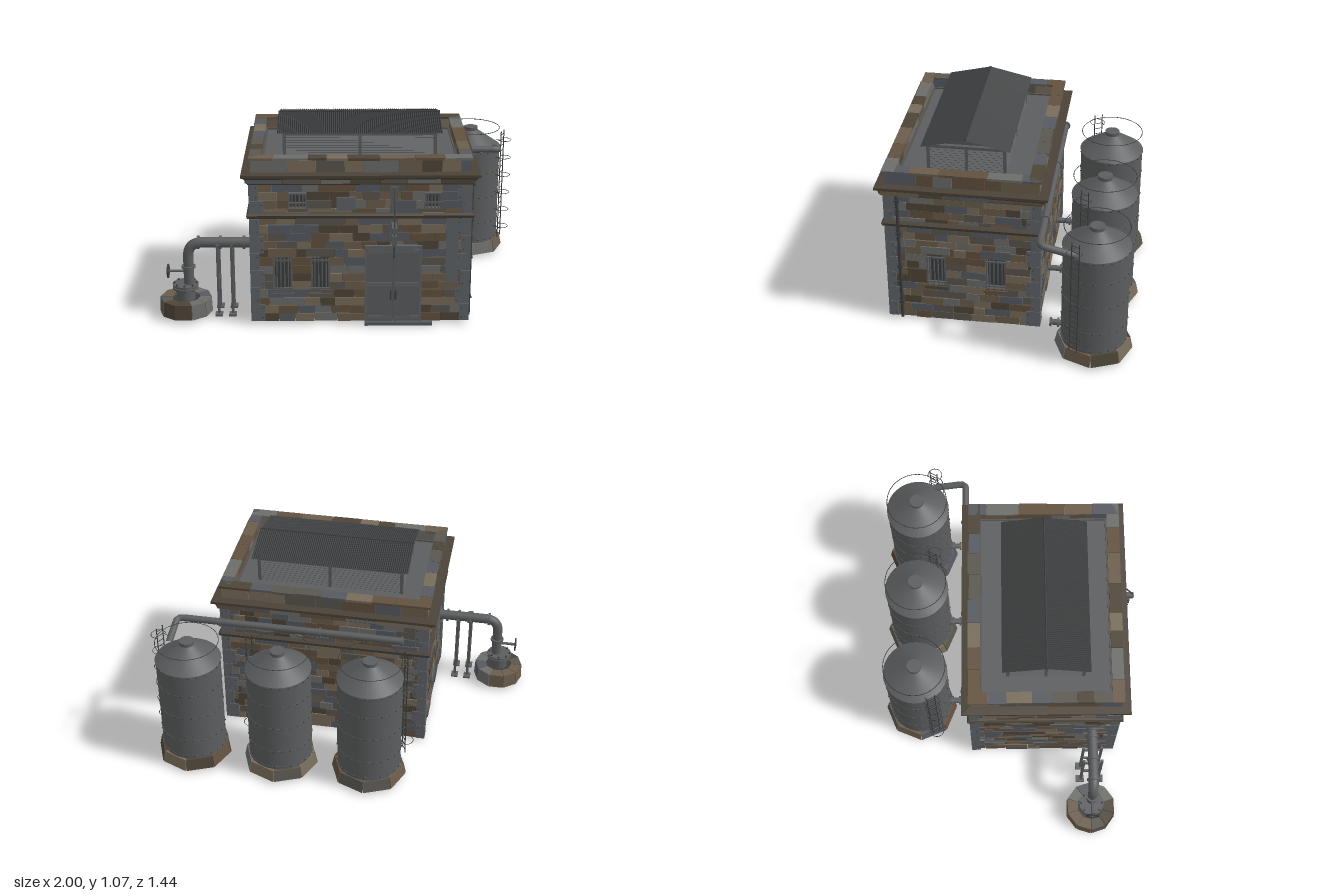
import * as THREE from 'three';
import { mergeGeometries } from 'three/addons/utils/BufferGeometryUtils.js';

const V = (x, y, z) => new THREE.Vector3(x, y, z);
const mat = (color, o = {}) => new THREE.MeshStandardMaterial({ color, ...o });
const STONES = [0x6b5d4c, 0x5a564f, 0x6c6c69, 0x4e4538, 0x786c5a, 0x565a60, 0x62513f].map((c) => mat(c, { flatShading: true }));
const METAL = mat(0x5b5d5e), DARK = mat(0x3a3c3d), PLATE = mat(0x606468), TRIM = mat(0x4a4238, { flatShading: true });
const CORE = mat(0x55534f), SHEET = mat(0x3f4142, { flatShading: true, side: THREE.DoubleSide });

let seed = 7;
const rnd = () => (seed = (seed * 16807) % 2147483647) / 2147483647;

// Pieces of one part are gathered by name and merged at the end
let parts;
function add(name, material, geo, m) {
  if (m) geo.applyMatrix4(m);
  const p = (parts[name] ??= { material, geos: [] });
  p.geos.push(geo.index ? geo.toNonIndexed() : geo);
}
const stone = (name, geo, m) => { const i = Math.floor(rnd() * STONES.length); add(name + 'Stones' + i, STONES[i], geo, m); };
const at = (x, y, z, ry = 0) => new THREE.Matrix4().makeRotationY(ry).setPosition(x, y, z);
// Box given by its min and max corners
const box = (x0, x1, y0, y1, z0, z1) =>
  new THREE.BoxGeometry(x1 - x0, y1 - y0, z1 - z0).translate((x0 + x1) / 2, (y0 + y1) / 2, (z0 + z1) / 2);
function rod(a, b, r, n = 6) {
  const d = b.clone().sub(a), g = new THREE.CylinderGeometry(r, r, d.length(), n);
  g.applyQuaternion(new THREE.Quaternion().setFromUnitVectors(V(0, 1, 0), d.normalize()));
  return g.translate((a.x + b.x) / 2, (a.y + b.y) / 2, (a.z + b.z) / 2);
}
// Pipe through points with rounded bends
function pipe(pts, r, bend = 0.05) {
  const path = new THREE.CurvePath();
  let last = pts[0];
  for (let i = 1; i < pts.length - 1; i++) {
    const p = pts[i];
    const a = p.clone().add(pts[i - 1].clone().sub(p).setLength(bend)), b = p.clone().add(pts[i + 1].clone().sub(p).setLength(bend));
    path.add(new THREE.LineCurve3(last, a));
    path.add(new THREE.QuadraticBezierCurve3(a, p, b));
    last = b;
  }
  path.add(new THREE.LineCurve3(last, pts[pts.length - 1]));
  return new THREE.TubeGeometry(path, 60, r, 14);
}
// Ring of separate stones, narrowing slightly upward
function stoneRing(name, n, ri, ro, h, taper, m) {
  for (let i = 0; i < n; i++) {
    const a = (i / n) * Math.PI * 2 + 0.012, b = ((i + 1) / n) * Math.PI * 2 - 0.012;
    const s = new THREE.Shape([[ri, a], [ro, a], [ro, b], [ri, b]].map(([r, t]) => new THREE.Vector2(r * Math.cos(t), r * Math.sin(t))));
    const g = new THREE.ExtrudeGeometry(s, { depth: h, bevelEnabled: false }).rotateX(-Math.PI / 2), p = g.attributes.position;
    for (let k = 0; k < p.count; k++) {
      const f = 1 - taper * p.getY(k) / h;
      p.setXYZ(k, p.getX(k) * f, p.getY(k), p.getZ(k) * f);
    }
    g.computeVertexNormals();
    stone(name, g, m);
  }
}

// The building is laid out about its own centre
const CX = 0.085, CZ = 0.2, HX = 0.57, HZ = 0.405;
const WINDOWS = [
  [[-0.46, -0.36, 0.18, 0.39], [-0.26, -0.16, 0.18, 0.39], [-0.375, -0.28, 0.637, 0.74], [0.335, 0.425, 0.637, 0.74]],
  [[-0.2, -0.095, 0.235, 0.44], [0.12, 0.23, 0.235, 0.44]], [], []];
const DOOR = [0.035, 0.315, 0.0, 0.445];

// Lofted rectangular moulding from [offset, height] points
function moulding(profile) {
  const pos = [], idx = [], n = profile.length;
  for (const [o, y] of profile) for (const [sx, sz] of [[1, 1], [1, -1], [-1, -1], [-1, 1]]) pos.push(sx * (HX + o), y, sz * (HZ + o));
  for (let i = 0; i < n - 1; i++) for (let k = 0; k < 4; k++) {
    const a = i * 4 + k, b = i * 4 + (k + 1) % 4;
    idx.push(a, b, b + 4, a, b + 4, a + 4);
  }
  const g = new THREE.BufferGeometry();
  g.setAttribute('position', new THREE.Float32BufferAttribute(pos, 3));
  g.setAttribute('uv', new THREE.Float32BufferAttribute(new Array(n * 8).fill(0), 2));
  g.setIndex(idx);
  const flat = g.toNonIndexed();
  flat.computeVertexNormals();
  return flat;
}
// One course of stones between u0 and u1, leaving gaps for openings
function course(name, u0, u1, y0, y1, zi, zo, holes, m, size) {
  const ym = (y0 + y1) / 2, cuts = holes.filter((h) => ym > h[2] && ym < h[3]).sort((a, b) => a[0] - b[0]);
  let from = u0;
  for (const c of [...cuts, [u1, u1]]) {
    while (from < c[0] - 0.002) {
      let to = from + size * (0.6 + rnd() * 0.8);
      if (c[0] - to < size * 0.4) to = c[0];
      stone(name, box(from + 0.0012, to - 0.0012, y0 + 0.001, y1 - 0.001, zi, zo + rnd() * 0.008), m);
      from = to;
    }
    from = c[1];
  }
}
function windowAt([a, b, y0, y1], z, m) {
  const big = y1 - y0 > 0.15;
  add('windowPanes', DARK, box(a, b, y0, y1, z - 0.04, z - 0.03), m);
  for (const [x0, x1, p, q] of [[a, a + 0.009, y0, y1], [b - 0.009, b, y0, y1], [a, b, y0, y0 + 0.009], [a, b, y1 - 0.009, y1]])
    add('windowFrames', METAL, box(x0, x1, p, q, z - 0.03, z + 0.004), m);
  for (let i = 1; i < 5; i++) add('windowBars', METAL, rod(V(a + (b - a) * i / 5, y0, z), V(a + (b - a) * i / 5, y1, z), 0.004), m);
  for (const t of big ? [0.12, 0.88] : [0.5]) add('windowBars', METAL, box(a, b, y0 + (y1 - y0) * t - 0.004, y0 + (y1 - y0) * t + 0.004, z, z + 0.008), m);
  stone('sill', box(a - 0.012, b + 0.012, y0 - 0.018, y0, z - 0.03, z + 0.014), m);
  if (big) stone('lintel', box(a - 0.025, b + 0.025, y1, y1 + 0.045, z - 0.03, z + 0.012), m);
}
function walls() {
  for (let w = 0; w < 4; w++) {
    const ry = w * Math.PI / 2, half = w % 2 ? HZ : HX, z = w % 2 ? HX : HZ, m = at(CX, 0, CZ, ry);
    const holes = w === 0 ? [...WINDOWS[w], DOOR] : WINDOWS[w];
    // Inner wall with openings
    const rect = (a, b, c, d) => [[a, c], [b, c], [b, d], [a, d]].map((p) => new THREE.Vector2(...p));
    const s = new THREE.Shape(rect(-half + 0.025, half - 0.025, 0.015, 0.87));
    for (const h of WINDOWS[w]) s.holes.push(new THREE.Path(rect(...h)));
    add('innerWalls', CORE, new THREE.ExtrudeGeometry(s, { depth: 0.035, bevelEnabled: false }).translate(0, 0, z - 0.06), m);
    for (let i = 0; i < 17; i++)
      course('wall', -half, half, 0.015 + i * 0.0458, 0.015 + (i + 1) * 0.0458, z - 0.03, z, holes, m, 0.1);
    for (const h of WINDOWS[w]) windowAt(h, z, m);
    // Cornice stones, parapet and coping
    course('cornice', -half - 0.02, half + 0.02, 0.8, 0.828, z - 0.03, z + 0.026, [], m, 0.15);
    course('parapet', -half, half, 0.845, 0.918, z - 0.05, z - 0.002, [], m, 0.14);
    course('coping', -half - 0.01, half + 0.01, 0.918, 0.933, z - 0.055, z + 0.006, [], m, 0.14);
    // Corner plates in alternating lengths
    for (let i = 0; i < 8; i++) for (const sd of [-1, 1]) {
      const len = (i + (sd > 0 ? w : w + 1)) % 2 ? 0.065 : 0.04, y = 0.02 + i * 0.097;
      const e = sd * (half + 0.01), f = sd * (half - len);
      add('cornerPlates', PLATE, box(Math.min(e, f), Math.max(e, f), y, y + 0.095, z - 0.02, z + 0.011), m);
      for (const t of [0.02, 0.075]) add('cornerRivets', DARK, new THREE.BoxGeometry(0.006, 0.006, 0.004).translate(sd * (half - len + 0.012), y + t, z + 0.012), m);
    }
  }
  const c = at(CX, 0, CZ);
  add('stringCourse', TRIM, moulding([[0, 0.6], [0.02, 0.606], [0.024, 0.622], [0.014, 0.632], [0, 0.636]]), c);
  add('corniceMoulding', TRIM, moulding([[0, 0.785], [0.014, 0.79], [0.02, 0.81], [0.038, 0.832], [0.048, 0.836], [0.048, 0.85], [-0.01, 0.855]]), c);
  add('roofDeck', METAL, box(-HX + 0.03, HX - 0.03, 0.85, 0.862, -HZ + 0.03, HZ - 0.03), c);
}
function skylight() {
  const c = at(CX, 0, CZ);
  add('louvreCore', DARK, box(-0.39, 0.39, 0.862, 0.99, -0.195, 0.195), c);
  for (let w = 0; w < 4; w++) {
    const half = w % 2 ? 0.21 : 0.405, z = w % 2 ? 0.405 : 0.21, m = at(CX, 0, CZ, w * Math.PI / 2);
    for (let i = 0; i < 9; i++)
      add('louvres', METAL, new THREE.BoxGeometry(half * 2 - 0.01, 0.003, 0.02).rotateX(0.7).translate(0, 0.875 + i * 0.014, z - 0.008), m);
    for (const u of [-half + 0.008, 0, half - 0.008]) add('louvrePosts', METAL, box(u - 0.008, u + 0.008, 0.862, 1.005, z - 0.016, z + 0.002), m);
    add('louvrePosts', METAL, box(-half, half, 0.993, 1.01, z - 0.018, z + 0.002), m);
  }
  // Corrugated pitched sheet
  const g = new THREE.PlaneGeometry(0.87, 0.47, 160, 2).rotateX(-Math.PI / 2), p = g.attributes.position;
  for (let i = 0; i < p.count; i++) p.setY(i, 1.062 - Math.abs(p.getZ(i)) / 0.235 * 0.054 + (i % 161 % 2) * 0.007);
  add('corrugatedRoof', SHEET, g, c);
  add('roofRidge', DARK, rod(V(-0.435, 1.066, 0), V(0.435, 1.066, 0), 0.005), c);
}
function frontFittings() {
  const z = CZ + HZ;
  for (const [a, b] of [[0.12, 0.258], [0.262, 0.4]]) {
    add('doorLeaves', METAL, box(a, b, 0.015, 0.44, z - 0.03, z + 0.012));
    for (const y of [0.03, 0.22, 0.41]) add('doorBands', PLATE, box(a + 0.005, b - 0.005, y, y + 0.02, z, z + 0.017));
  }
  for (const x of [0.247, 0.273]) add('doorHandles', DARK, rod(V(x, 0.15, z + 0.024), V(x, 0.2, z + 0.024), 0.005));
  add('doorFrame', PLATE, box(0.11, 0.41, 0.435, 0.452, z - 0.03, z + 0.02));
  for (const x of [0.11, 0.4]) add('doorFrame', PLATE, box(x, x + 0.01, 0.015, 0.452, z - 0.03, z + 0.02));
  stone('doorstep', box(0.11, 0.47, 0, 0.018, z - 0.05, z + 0.035));
  add('wallPanels', PLATE, box(0.535, 0.6, 0.24, 0.6, z, z + 0.014));
  add('wallPanels', PLATE, box(-0.04, 0.06, 0.65, 0.72, z, z + 0.014));
  // Hoist above the door
  add('hoistBeam', METAL, box(0.247, 0.273, 0.555, 0.585, z, 0.72));
  add('hoistBeam', METAL, box(0.24, 0.28, 0.5, 0.78, z, z + 0.015));
  add('hoistStay', DARK, rod(V(0.26, 0.77, z + 0.01), V(0.26, 0.585, 0.715), 0.004));
  add('hoistBlock', METAL, box(0.247, 0.273, 0.48, 0.535, 0.67, 0.7));
  for (const dz of [-0.008, 0, 0.008]) add('hoistChain', DARK, rod(V(0.26, 0.43 - dz * 2, 0.685 + dz), V(0.26, 0.56, 0.685 + dz), 0.003));
  add('hoistHook', DARK, new THREE.TorusGeometry(0.012, 0.004, 6, 12, 4.4).rotateY(Math.PI / 2).translate(0.26, 0.428, 0.685));
  // Downspout on the side wall
  add('downspout', DARK, rod(V(0.672, 0.02, 0.54), V(0.672, 0.81, 0.54), 0.009, 10));
  for (const y of [0.12, 0.35, 0.56, 0.76]) add('downspout', DARK, box(0.655, 0.685, y, y + 0.01, 0.526, 0.554));
}
function tank(x, ladderAngle, stub) {
  const c = at(x, 0, -0.515), R = 0.175;
  stoneRing('tankBase', 8, 0.1, 0.208, 0.066, 0.07, at(x, 0.018, -0.515));
  const cyl = (n, m, rt, rb, y0, y1, open = false) => add(n, m, new THREE.CylinderGeometry(rt, rb, y1 - y0, 32, 1, open).translate(0, (y0 + y1) / 2, 0), c);
  cyl('tankBodies', METAL, R, R, 0.08, 0.655);
  cyl('tankRoofs', METAL, 0.04, R + 0.004, 0.655, 0.75);
  cyl('tankCaps', METAL, 0.04, 0.04, 0.745, 0.77);
  add('tankHoops', DARK, new THREE.TorusGeometry(0.17, 0.002, 4, 40).rotateX(Math.PI / 2).translate(0, 0.766, 0), c);
  for (const y of [0.1, 0.21, 0.37, 0.52, 0.645]) {
    cyl('tankSeams', METAL, R + 0.0015, R + 0.0015, y - 0.003, y + 0.003);
    for (let i = 0; i < 24; i++) add('tankRivets', DARK, new THREE.BoxGeometry(0.004, 0.006, 0.006).translate(R + 0.002, y, 0).rotateY(i * Math.PI / 12), c);
  }
  // Ladder with safety hoops
  const m = at(x, 0, -0.515, ladderAngle);
  for (const z of [-0.023, 0.023]) add('ladders', DARK, rod(V(0.202, 0.1, z), V(0.202, 0.768, z), 0.003), m);
  for (let y = 0.12; y < 0.76; y += 0.033) add('ladders', DARK, rod(V(0.202, y, -0.023), V(0.202, y, 0.023), 0.002), m);
  for (let y = 0.17; y < 0.75; y += 0.109) {
    add('ladderHoops', DARK, new THREE.TorusGeometry(0.04, 0.0018, 4, 16, 4.6).rotateZ(-2.3).rotateX(Math.PI / 2).translate(0.215, y, 0), m);
    add('ladders', DARK, rod(V(0.17, y, 0.023), V(0.202, y, 0.023), 0.002), m);
  }
  // Feed pipe at the foot
  const end = stub ? -0.29 : -0.19;
  add('feedPipes', METAL, rod(V(x, 0.14, -0.36), V(x, 0.14, end), 0.016, 14));
  for (const z of [-0.325, -0.285]) add('pipeFlanges', METAL, rod(V(x, 0.14, z - 0.005), V(x, 0.14, z + 0.005), 0.025, 14));
}
function intake() {
  const x = -0.857, z = 0.47, y = 0.415;
  stoneRing('well', 10, 0.08, 0.143, 0.083, 0.03, at(x, 0.018, z));
  add('wellCover', DARK, rod(V(x, 0.06, z), V(x, 0.09, z), 0.085, 20));
  add('intakePipe', METAL, rod(V(x, 0.06, z), V(x, 0.165, z), 0.05, 20));
  for (const h of [0.152, 0.168]) add('pipeFlanges', METAL, rod(V(x, h, z), V(x, h + 0.011, z), 0.07, 20));
  for (let i = 0; i < 8; i++) add('flangeBolts', DARK, rod(V(0.06, 0.145, 0), V(0.06, 0.187, 0), 0.006).rotateY(i * Math.PI / 4), at(x, 0, z));
  add('intakePipe', METAL, pipe([V(x + 0.02, 0.16, z), V(x + 0.02, y, z), V(-0.46, y, z)], 0.028, 0.08));
  add('pipeFlanges', METAL, rod(V(x + 0.02, 0.27, z), V(x + 0.02, 0.282, z), 0.038, 16));
  for (const fx of [-0.78, -0.662, -0.535, -0.495]) add('pipeFlanges', METAL, rod(V(fx - 0.006, y, z), V(fx + 0.006, y, z), 0.037, 16));
  // Valve wheel
  add('valveStem', METAL, rod(V(x, 0.25, z), V(-0.955, 0.25, z), 0.008, 8));
  add('valveWheel', DARK, new THREE.TorusGeometry(0.034, 0.005, 6, 20).rotateY(Math.PI / 2).translate(-0.948, 0.25, z));
  for (const a of [0, 1.047, 2.094]) add('valveWheel', DARK, rod(V(0, -0.034, 0), V(0, 0.034, 0), 0.003).rotateX(a).translate(-0.948, 0.25, z));
  // Pipe supports
  for (const sx of [-0.675, -0.6]) {
    for (const s of [-1, 1]) {
      add('pipeSupports', METAL, box(sx - 0.007, sx + 0.007, 0.02, 0.42, z + s * 0.05 - 0.007, z + s * 0.05 + 0.007));
      add('pipeSupports', METAL, box(sx - 0.02, sx + 0.02, 0.016, 0.026, z + s * 0.055 - 0.024, z + s * 0.055 + 0.024));
    }
    for (const h of [0.2, 0.372]) add('pipeSupports', METAL, box(sx - 0.006, sx + 0.006, h, h + 0.014, z - 0.055, z + 0.055));
  }
}

export function createModel() {
  parts = {};
  seed = 7;
  walls();
  skylight();
  frontFittings();
  tank(-0.225, Math.PI + 0.48, false);
  tank(0.273, -0.48, false);
  tank(0.77, -0.48, true);
  // Overflow pipe along the back wall to the end tank
  add('overflowPipe', METAL, pipe([V(-0.36, 0.71, -0.236), V(0.905, 0.71, -0.236), V(0.905, 0.665, -0.42)], 0.019, 0.03));
  for (const x of [-0.355, 0.1, 0.66]) add('pipeFlanges', METAL, rod(V(x - 0.006, 0.71, -0.236), V(x + 0.006, 0.71, -0.236), 0.026, 14));
  intake();
  const group = new THREE.Group();
  for (const [name, p] of Object.entries(parts)) {
    const mesh = new THREE.Mesh(mergeGeometries(p.geos), p.material);
    mesh.name = name;
    group.add(mesh);
  }
  return group;
}
